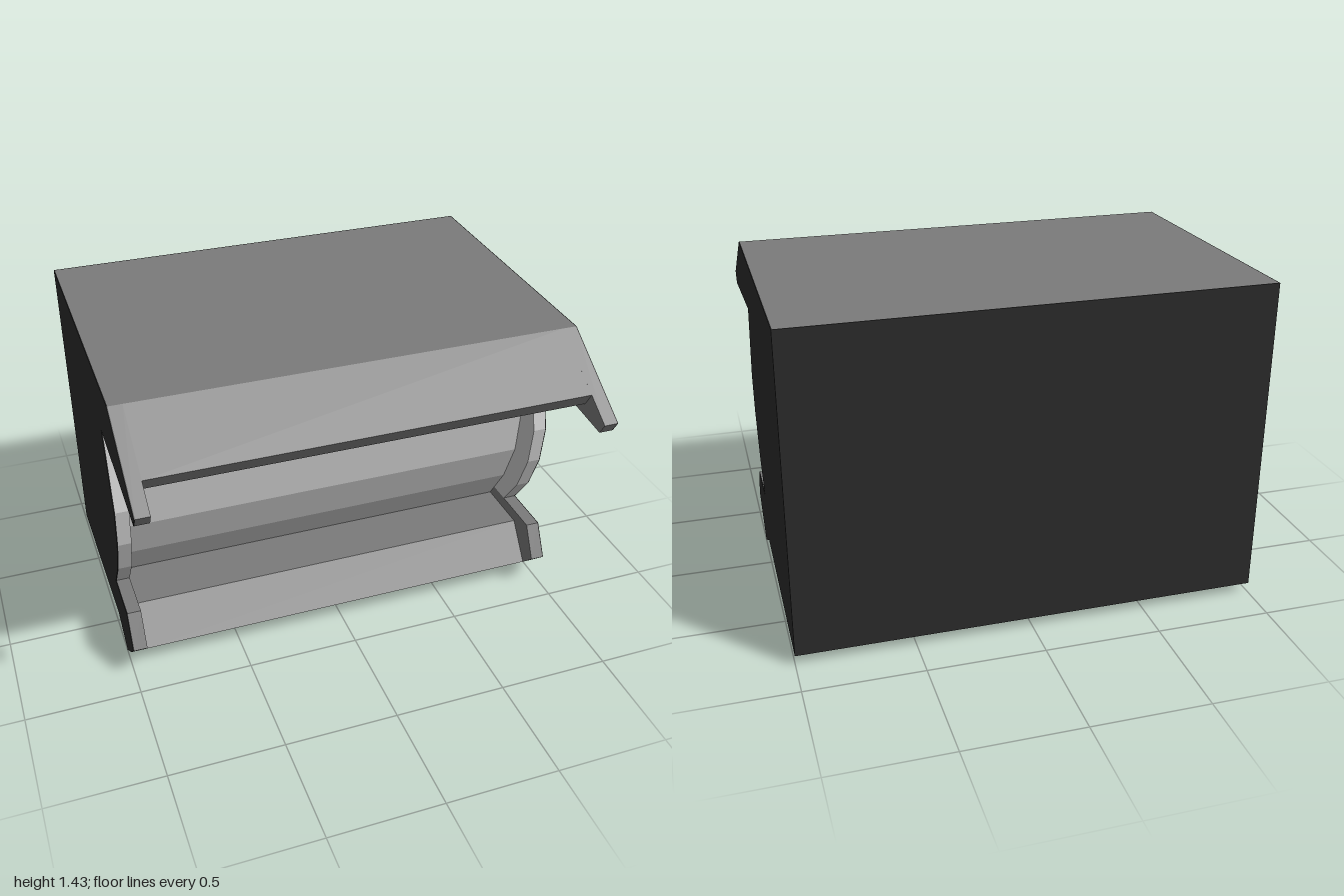
import * as THREE from 'three';

// Cross-sections as [z, y], running from the rear top edge round the front to the rear bottom
const rear = { top: [-0.826, 1.43], bottom: [-0.821, 0.045] };
const foot = [[0.335, 0.09], [0.215, 0], [0.05, 0.09], rear.bottom];
const endSection = {
  roof: [rear.top, [0.435, 1.41], [0.83, 1.157], [0.80, 1.107]],
  curve: [[0.20, 1.17], [0.25, 0.99], [0.297, 0.82], [0.275, 0.637], [0.20, 0.457], [0.09, 0.308]],
  ledge: [[0.33, 0.308], [0.41, 0.16], ...foot],
};
const middleSection = {
  roof: [rear.top, [0.435, 1.41], [0.708, 1.235], [0.67, 1.173]],
  curve: [[0.07, 1.225], [0.168, 0.848], [0.147, 0.63], [0.065, 0.43], [-0.05, 0.253]],
  ledge: [[0.21, 0.253], ...foot],
};

const grey = (color) => new THREE.MeshStandardMaterial({ color, flatShading: true });

export function createModel() {
  const group = new THREE.Group();
  group.name = 'cabinet';
  const light = grey(0xcccccc);
  const medium = grey(0x7b7b7b);
  const dark = grey(0x2c2c2c);

  // Extrude a side profile across x, centred on the given position
  const addProfile = (name, profile, width, x, material) => {
    const shape = new THREE.Shape(profile.map(([z, y]) => new THREE.Vector2(z, y)));
    const geometry = new THREE.ExtrudeGeometry(shape, { depth: width, bevelEnabled: false });
    geometry.translate(0, 0, -width / 2).rotateY(-Math.PI / 2);
    const mesh = new THREE.Mesh(geometry, material);
    mesh.name = name;
    mesh.position.x = x;
    group.add(mesh);
  };

  // A shell of roof and ledge, with a light curved front seated in it
  const addSection = (name, { roof, curve, ledge }, width, x) => {
    const first = curve[0];
    const last = curve[curve.length - 1];
    const seat = [[-0.2, first[1]], [-0.2, last[1]]];
    addProfile(name + 'Shell', [...roof, first, ...seat, last, ...ledge], width, x, medium);
    addProfile(name + 'CurvedFront', [...curve, seat[1], seat[0]], width, x, light);
  };

  const skin = 0.004;
  const wall = 0.062;
  addSection('middle', middleSection, 2 - 2 * wall, 0);

  // Raised ends, each covered by a dark outer panel
  const { roof, curve, ledge } = endSection;
  for (const [name, side] of [['left', 1], ['right', -1]]) {
    addSection(name + 'End', endSection, wall - skin, side * (1 - (wall + skin) / 2));
    addProfile(name + 'OuterPanel', [...roof, ...curve, ...ledge], skin, side * (1 - skin / 2), dark);
  }

  // Dark rear panel
  const rearEdge = [rear.bottom, rear.top].map(([z, y]) => [z - skin, y]);
  addProfile('rearPanel', [rear.top, rear.bottom, ...rearEdge], 2, 0, dark);
  return group;
}
